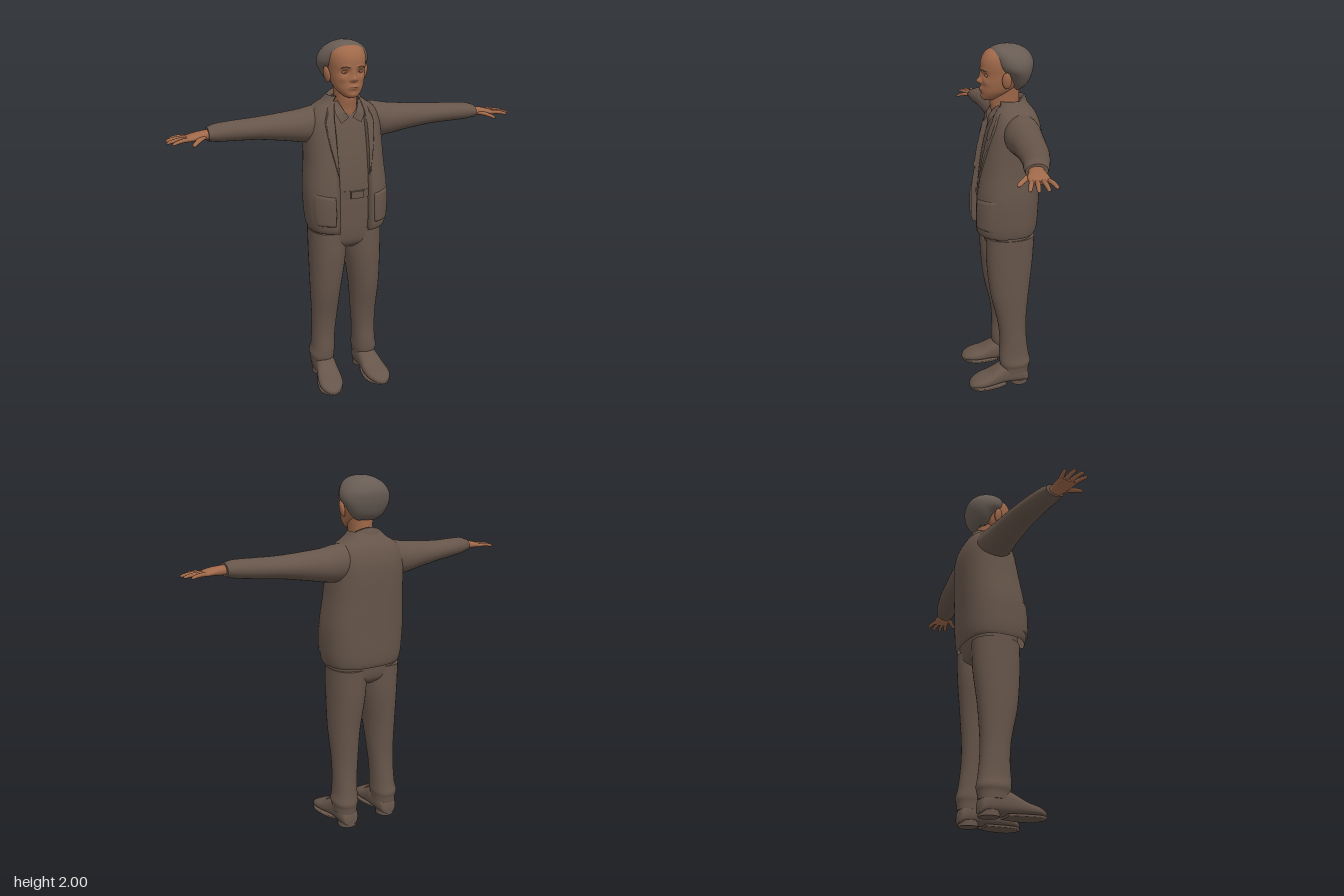
import * as THREE from 'three';

const mat = (name, color, side = THREE.FrontSide) => {
  const m = new THREE.MeshStandardMaterial({ color, side });
  m.name = name;
  return m;
};
const V = (a) => new THREE.Vector3(...a);
const X = [1, 0, 0], Y = [0, 1, 0], Z = [0, 0, 1];

// Skin a list of point rings; closed rings also get flat end caps
function loft(rings, closed = true) {
  const n = rings[0].length, pos = rings.flat().flatMap((p) => [p.x, p.y, p.z]), idx = [];
  for (let i = 0; i < rings.length - 1; i++) {
    for (let j = 0; j < (closed ? n : n - 1); j++) {
      const a = i * n + j, b = i * n + ((j + 1) % n), c = a + n, d = b + n;
      idx.push(a, c, b, b, c, d);
    }
  }
  if (closed) {
    [rings[0], rings[rings.length - 1]].forEach((ring, end) => {
      const base = pos.length / 3, mid = new THREE.Vector3();
      ring.forEach((p) => { mid.addScaledVector(p, 1 / n); pos.push(p.x, p.y, p.z); });
      pos.push(mid.x, mid.y, mid.z);
      for (let j = 0; j < n; j++) {
        const a = base + j, b = base + ((j + 1) % n);
        idx.push(base + n, ...(end ? [b, a] : [a, b]));
      }
    });
  }
  const g = new THREE.BufferGeometry();
  g.setAttribute('position', new THREE.Float32BufferAttribute(pos, 3));
  g.setIndex(idx);
  g.computeVertexNormals();
  return g;
}

// Smoothly resample stations [x, y, z, radiusU, radiusV]
function resample(st, steps) {
  const curve = (f) => new THREE.CatmullRomCurve3(st.map(f), false, 'catmullrom', 0.5);
  const c = curve((s) => V(s.slice(0, 3))), r = curve((s) => new THREE.Vector3(s[3], s[4], 0));
  return Array.from({ length: steps + 1 }, (_, i) => [c.getPoint(i / steps), r.getPoint(i / steps)]);
}
const power = (v, e) => Math.sign(v) * Math.abs(v) ** e;

// Superellipse cross-sections swept along direction D, with U as the first radius
function tube(st, D, U, { p = 2, n = 32, steps = 24, warp } = {}) {
  const u = V(U), v = u.clone().cross(V(D).normalize());
  return loft(resample(st, steps).map(([c, r]) => Array.from({ length: n }, (_, j) => {
    const t = (j / n) * Math.PI * 2;
    const q = c.clone().addScaledVector(u, Math.max(r.x, 0.001) * power(Math.cos(t), 2 / p))
      .addScaledVector(v, Math.max(r.y, 0.001) * power(Math.sin(t), 2 / p));
    if (warp) warp(q);
    return q;
  })));
}
// Upright stations from [y, half width, front z, back z]
const upright = (rows, x = 0) => rows.map(([y, w, f, b]) => [x, y, (f + b) / 2, w, (f - b) / 2]);

function mirrored(g) {
  const m = g.clone().scale(-1, 1, 1), k = m.index.array;
  for (let i = 0; i < k.length; i += 3) [k[i], k[i + 1]] = [k[i + 1], k[i]];
  m.computeVertexNormals();
  return m;
}

// Jacket profile, also used to lay pockets and lapels on its front
const P = 2.6;
const jacketRows = resample(upright([
  [0.975, 0.214, 0.15, -0.185], [1.0, 0.222, 0.16, -0.194], [1.06, 0.23, 0.162, -0.2],
  [1.2, 0.235, 0.155, -0.205], [1.35, 0.222, 0.13, -0.212], [1.5, 0.215, 0.1, -0.217],
  [1.58, 0.207, 0.075, -0.207], [1.64, 0.175, 0.05, -0.185], [1.68, 0.115, 0.035, -0.155],
  [1.71, 0.085, 0.025, -0.13]]), 45);
function jacketZ(x, y) {
  let k = jacketRows.findIndex(([c]) => c.y >= y);
  if (k < 0) k = jacketRows.length - 1;
  const [c, r] = jacketRows[k];
  return c.z + r.y * Math.max(0, 1 - Math.min(1, Math.abs(x) / r.x) ** P) ** (1 / P);
}
function jacketShell() {
  return loft(jacketRows.map(([c, r]) => {
    const gap = Math.min(0.088, r.x * 0.7), t0 = Math.acos((gap / r.x) ** (P / 2)), n = 60;
    const ring = Array.from({ length: n + 1 }, (_, j) => {
      const t = Math.PI - t0 + (j / n) * (Math.PI + 2 * t0);
      return new THREE.Vector3(r.x * power(Math.cos(t), 2 / P), c.y, c.z + r.y * power(Math.sin(t), 2 / P));
    });
    // turned-in front edges
    const fold = (q) => new THREE.Vector3(q.x, q.y, q.z - 0.045);
    return [fold(ring[0]), ...ring, fold(ring[n])];
  }), false);
}
// Patch between two edges; points without z lie on the jacket front
function patch(inner, outer, lift = 0.008) {
  const edge = (pts) => new THREE.CatmullRomCurve3(pts.map(([x, y, z]) => new THREE.Vector3(x, y, z ?? 0)), false, 'catmullrom', 0.2);
  const a = edge(inner), b = edge(outer), drape = inner[0].length === 2, n = 14;
  return loft(Array.from({ length: n + 1 }, (_, i) => Array.from({ length: n + 1 }, (_, j) => {
    const q = b.getPoint(i / n).lerp(a.getPoint(i / n), j / n);
    const rim = Math.min(i, j, n - i, n - j) === 0;
    if (drape) q.z = jacketZ(q.x, q.y) + (rim ? -0.004 : lift);
    return q;
  })), false);
}

export function createModel() {
  const root = new THREE.Group();
  const cloth = mat('brown cloth', 0x66554a, THREE.DoubleSide);
  const skin = mat('skin', 0xa0694a);
  const hair = mat('hair', 0x685c54);
  const line = mat('dark crease', 0x4a3026);
  const body = new THREE.Group(), head = new THREE.Group();
  body.name = 'body'; body.position.x = -0.017;
  head.name = 'head'; head.position.x = -0.012;
  root.add(body, head);
  const add = (parent, name, geo, m) => {
    const mesh = new THREE.Mesh(geo, m);
    mesh.name = name;
    parent.add(mesh);
    return mesh;
  };
  const pair = (parent, name, geo, m) => [add(parent, 'left' + name, geo, m), add(parent, 'right' + name, mirrored(geo), m)];

  // Trousers
  add(body, 'trouserHips', tube(upright([[0.86, 0.12, 0.06, -0.11], [0.9, 0.195, 0.095, -0.155],
    [0.98, 0.206, 0.108, -0.17], [1.1, 0.205, 0.112, -0.175], [1.19, 0.19, 0.112, -0.165]]), Y, X, { p: 2.5, n: 48 }), cloth);
  pair(body, 'TrouserLeg', tube([[0.106, 0.96, -0.034, 0.104, 0.136], [0.107, 0.8, -0.03, 0.102, 0.132],
    [0.119, 0.6, -0.029, 0.086, 0.111], [0.123, 0.42, -0.042, 0.074, 0.085], [0.128, 0.3, -0.05, 0.068, 0.08],
    [0.132, 0.2, -0.054, 0.068, 0.088], [0.137, 0.15, -0.06, 0.073, 0.092], [0.136, 0.12, -0.06, 0.067, 0.086],
    [0.136, 0.085, -0.06, 0.064, 0.082]], [0, -1, 0], X, { p: 2.2, steps: 48 }), cloth);

  // Shoes with sole and heel
  pair(body, 'Shoe', tube([[-0.142, 0.05, 0.025], [-0.13, 0.095, 0.048], [-0.08, 0.135, 0.06], [0.0, 0.142, 0.061],
    [0.05, 0.118, 0.065], [0.1, 0.088, 0.071], [0.155, 0.07, 0.069], [0.195, 0.052, 0.05], [0.213, 0.038, 0.03], [0.22, 0.028, 0.008]]
    .map(([z, h, w]) => [0.134 + 0.1 * Math.max(0, z), (h + 0.012) / 2, z, (h - 0.012) / 2, w]), Z, Y, { p: 2.5, steps: 36 }), cloth);
  pair(body, 'Sole', tube([[0.138, 0.011, 0.0, 0.009, 0.05], [0.142, 0.01, 0.06, 0.01, 0.066], [0.147, 0.01, 0.13, 0.01, 0.072],
    [0.152, 0.011, 0.18, 0.01, 0.06], [0.155, 0.014, 0.215, 0.009, 0.025]], Z, Y, { p: 4 }), cloth);
  pair(body, 'Heel', new THREE.CylinderGeometry(0.055, 0.055, 0.03, 24).translate(0.134, 0.015, -0.085), cloth);

  // Shirt, belt and buckle
  add(body, 'shirt', tube(upright([[1.16, 0.18, 0.118, -0.15], [1.22, 0.185, 0.124, -0.16], [1.35, 0.18, 0.11, -0.16],
    [1.48, 0.17, 0.085, -0.15], [1.57, 0.15, 0.062, -0.14], [1.62, 0.11, 0.045, -0.13], [1.65, 0.075, 0.02, -0.12]]),
  Y, X, { p: 2.5, n: 48 }), cloth);
  add(body, 'belt', tube(upright([[1.165, 0.19, 0.124, -0.16], [1.21, 0.19, 0.126, -0.16]]), Y, X, { p: 2.5, n: 48, steps: 2 }), cloth);
  add(body, 'buckle', new THREE.BoxGeometry(0.075, 0.04, 0.012).translate(0.017, 1.188, 0.131), cloth);
  pair(body, 'ShirtCollar', patch([[0.058, 1.69, 0.03], [0.035, 1.64, 0.068], [0.01, 1.605, 0.075]],
    [[0.085, 1.685, 0.01], [0.08, 1.62, 0.07], [0.056, 1.575, 0.083]]), cloth);

  // Jacket with lapels, pockets and collar
  add(body, 'jacket', jacketShell(), cloth);
  pair(body, 'Lapel', patch([[0.072, 1.69], [0.086, 1.6], [0.088, 1.45], [0.086, 1.3]],
    [[0.1, 1.69], [0.14, 1.58], [0.125, 1.45], [0.089, 1.29]], 0.01), cloth);
  pair(body, 'Pocket', patch([[0.11, 1.19], [0.108, 1.1], [0.112, 1.02]],
    [[0.222, 1.205], [0.222, 1.1], [0.21, 1.02]], 0.01), cloth);
  add(body, 'jacketCollar', loft([[0.11, 1.645, 0.1], [0.097, 1.68, 0.09], [0.08, 1.69, 0.078], [0.074, 1.66, 0.07]]
    .map(([rx, y, rz]) => Array.from({ length: 41 }, (_, j) => {
      const t = Math.PI * (0.8 + (j / 40) * 1.4), s = Math.sin(t);
      return new THREE.Vector3(rx * Math.cos(t), y - 0.045 * s, -0.045 + rz * s);
    })), false), cloth);

  // Sleeves and hands
  const arms = new THREE.Group();
  arms.name = 'arms';
  root.add(arms);
  const turned = (name, geo, m) => { pair(arms, name, geo, m)[1].rotation.y = 0.02; };
  turned('Sleeve', tube([[0.09, 1.57, -0.085, 0.085, 0.08], [0.17, 1.555, -0.08, 0.1, 0.098], [0.25, 1.55, -0.077, 0.09, 0.096],
    [0.35, 1.554, -0.072, 0.076, 0.086], [0.5, 1.56, -0.06, 0.059, 0.077], [0.62, 1.564, -0.042, 0.053, 0.068],
    [0.72, 1.567, -0.02, 0.047, 0.062], [0.75, 1.567, -0.013, 0.04, 0.057], [0.772, 1.566, -0.008, 0.035, 0.053]], X, Y, { steps: 40 }), cloth);
  turned('Palm', tube([[0.74, 1.566, -0.008, 0.026, 0.037], [0.79, 1.564, -0.002, 0.024, 0.039], [0.83, 1.562, 0.002, 0.02, 0.048],
    [0.87, 1.557, 0.003, 0.014, 0.05], [0.89, 1.555, 0.003, 0.008, 0.044]], X, Y, { p: 2.3 }), skin);
  [[[0.865, 1.556, -0.034], [0.957, 1.549, -0.056]], [[0.87, 1.557, -0.01], [0.982, 1.548, -0.012]],
    [[0.87, 1.557, 0.016], [0.983, 1.547, 0.034]], [[0.865, 1.556, 0.038], [0.96, 1.545, 0.068]],
    [[0.79, 1.558, 0.02], [0.865, 1.535, 0.1]]].forEach(([a, b], i) => {
    const A = V(a), B = V(b), D = B.clone().sub(A).normalize();
    const U = V(Y).addScaledVector(D, -D.y).normalize();
    const st = [[0, 1], [0.35, 1], [0.7, 0.88], [0.93, 0.68], [1, 0.15]].map(([t, k]) => {
      const c = A.clone().lerp(B, t);
      return [c.x, c.y + 0.006 * Math.sin(t * Math.PI), c.z, 0.0105 * k, (i === 4 ? 0.015 : 0.0115) * k];
    });
    turned(i === 4 ? 'Thumb' : 'Finger' + (i + 1), tube(st, D.toArray(), U.toArray(), { n: 14, steps: 14 }), skin);
  });

  // Neck and sculpted face: [x, y, height, spread x, spread y]
  add(head, 'neck', tube(upright([[1.57, 0.06, 0.045, -0.1], [1.64, 0.06, 0.05, -0.1], [1.7, 0.06, 0.06, -0.1], [1.78, 0.068, 0.06, -0.1]]), Y, X), skin);
  const bumps = [[0, 1.812, 0.026, 0.014, 0.014], [0, 1.84, 0.011, 0.01, 0.024], [0, 1.768, 0.012, 0.026, 0.014], [0, 1.73, 0.005, 0.02, 0.012]];
  for (const s of [-1, 1]) {
    bumps.push([s * 0.042, 1.846, -0.013, 0.018, 0.012], [s * 0.04, 1.872, 0.006, 0.024, 0.009],
      [s * 0.056, 1.81, 0.006, 0.018, 0.016], [s * 0.016, 1.806, 0.008, 0.007, 0.007]);
  }
  const sculpt = (q) => {
    if (q.z < 0.03) return;
    let dz = 0;
    for (const [x, y, h, sx, sy] of bumps) dz += h * Math.exp(-(((q.x - x) / sx) ** 2) - ((q.y - y) / sy) ** 2);
    q.z += dz * Math.min(1, (q.z - 0.03) / 0.03);
  };
  add(head, 'face', tube(upright([[1.71, 0.018, 0.088, 0.04], [1.72, 0.04, 0.1, 0.01], [1.755, 0.072, 0.104, -0.05],
    [1.8, 0.089, 0.104, -0.1], [1.85, 0.097, 0.105, -0.13], [1.9, 0.102, 0.108, -0.14], [1.94, 0.096, 0.096, -0.13],
    [1.97, 0.07, 0.07, -0.1], [1.985, 0.03, 0.03, -0.05]]), Y, X, { p: 2.2, n: 112, steps: 72, warp: sculpt }), skin);

  // Eyes, mouth and ears
  const stroke = (pts, r) => new THREE.TubeGeometry(new THREE.CatmullRomCurve3(pts.map(V)), 12, r, 6);
  pair(head, 'Eyelid', new THREE.SphereGeometry(1, 20, 14).scale(0.017, 0.009, 0.01).translate(0.042, 1.846, 0.082), skin);
  pair(head, 'EyeLine', stroke([[0.026, 1.844, 0.087], [0.042, 1.847, 0.0915], [0.058, 1.844, 0.084]], 0.0018), line);
  pair(head, 'Eyebrow', stroke([[0.02, 1.869, 0.107], [0.042, 1.875, 0.104], [0.064, 1.868, 0.088]], 0.0025), hair);
  add(head, 'mouthLine', stroke([[-0.026, 1.767, 0.104], [0, 1.769, 0.1155], [0.026, 1.767, 0.104]], 0.0018), line);
  pair(head, 'Ear', new THREE.SphereGeometry(1, 20, 16).scale(0.014, 0.044, 0.025).rotateZ(-0.2).rotateY(-0.25).translate(0.107, 1.826, -0.012), skin);

  // Hair, full at the sides and receding above the forehead
  add(head, 'hair', tube(upright([[1.77, 0.06, -0.06, -0.105], [1.795, 0.092, -0.04, -0.138], [1.84, 0.122, -0.015, -0.16],
    [1.88, 0.14, 0.03, -0.17], [1.92, 0.135, 0.05, -0.17], [1.96, 0.108, 0.06, -0.148], [1.985, 0.07, 0.045, -0.112],
    [1.997, 0.035, 0.01, -0.075], [2.0, 0.01, -0.02, -0.045]]), Y, X, { p: 2.1, n: 56, steps: 40 }), hair);
  return root;
}
